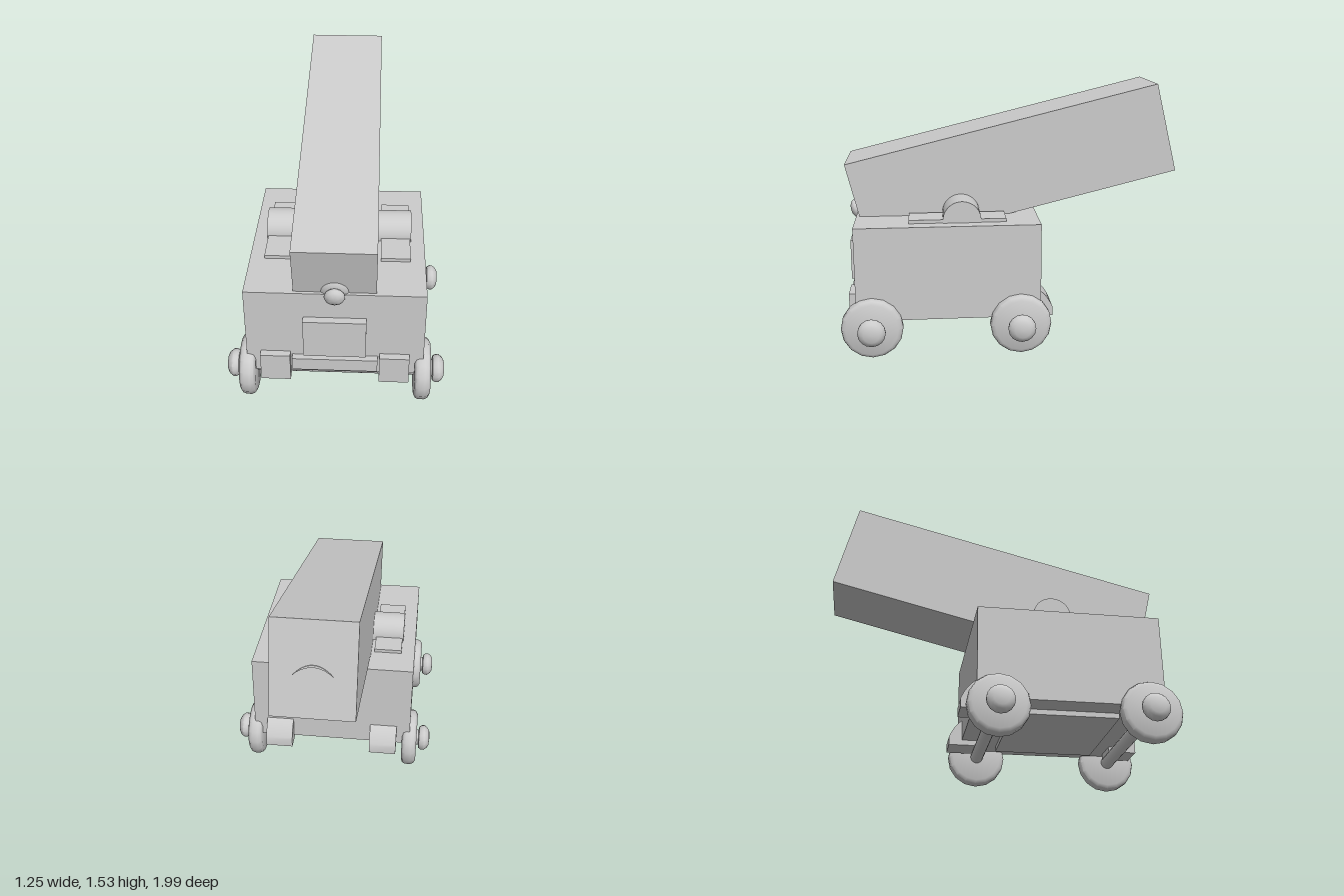
import * as THREE from 'three';
import { toCreasedNormals } from 'three/addons/utils/BufferGeometryUtils.js';

const mat = new THREE.MeshStandardMaterial({ color: 0xcccccc });

export function createModel() {
  const root = new THREE.Group();

  const add = (name, geo, parent = root) => {
    const mesh = new THREE.Mesh(geo, mat);
    mesh.name = name;
    parent.add(mesh);
    return mesh;
  };
  // Box given by its extents
  const box = (name, x0, x1, y0, y1, z0, z1, parent = root) => {
    const m = add(name, new THREE.BoxGeometry(x1 - x0, y1 - y0, z1 - z0), parent);
    m.position.set((x0 + x1) / 2, (y0 + y1) / 2, (z0 + z1) / 2);
    return m;
  };
  // Turned part from [radius, height] pairs
  const turned = (pts, sides, crease = 0.7) => toCreasedNormals(
    new THREE.LatheGeometry(pts.map(([r, h]) => new THREE.Vector2(r, h)), sides), crease);
  // Side profile drawn as (z, y), extruded along x from x0 to x1
  const sideExtrude = (name, shape, x0, x1) => {
    const geo = new THREE.ExtrudeGeometry(shape, { depth: x1 - x0, bevelEnabled: false, curveSegments: 12 });
    geo.rotateY(-Math.PI / 2).scale(1, 1, 1);
    const m = add(name, toCreasedNormals(geo, 0.6));
    m.position.x = x1;
    return m;
  };

  // Carriage body, underside panel and front plates
  box('carriageBody', -0.495, 0.495, 0.22, 0.77, -0.155, 0.91);
  box('undersidePanel', -0.35, 0.35, 0.19, 0.225, 0.07, 0.68);
  box('frontPanel', -0.173, 0.173, 0.37, 0.61, 0.9, 0.955);
  box('frontBar', -0.238, 0.238, 0.262, 0.34, 0.9, 0.95);

  // Barrel, tilted up towards the back
  const barrel = new THREE.Group();
  barrel.name = 'barrelGroup';
  barrel.position.set(0, 1.048, -0.0135);
  barrel.rotation.x = 0.2406;
  root.add(barrel);
  add('barrel', new THREE.BoxGeometry(0.45, 0.532, 1.888), barrel);

  // Thin raised crescent on the muzzle face
  const crescent = new THREE.Shape();
  crescent.moveTo(-0.105, 0);
  crescent.quadraticCurveTo(0, 0.115, 0.105, 0);
  crescent.quadraticCurveTo(0, 0.09, -0.105, 0);
  const lip = add('muzzleLip', new THREE.ExtrudeGeometry(crescent, { depth: 0.012, bevelEnabled: false }), barrel);
  lip.position.set(0, -0.03, -0.95);

  // Knob at the breech
  const knob = add('breechKnob', turned([
    [0, -0.05], [0.08, -0.05], [0.08, -0.005], [0.068, 0.008], [0.045, 0.014],
    [0.055, 0.026], [0.057, 0.038], [0.05, 0.052], [0.028, 0.064], [0, 0.066],
  ], 24));
  knob.position.set(0, 0.775, 0.892);
  knob.rotation.x = Math.PI / 2 + 0.2406;

  // Half-round trunnion cover profile
  const trunnion = new THREE.Shape();
  trunnion.moveTo(0.184, 0.76);
  trunnion.lineTo(0.404, 0.76);
  trunnion.lineTo(0.404, 0.785);
  trunnion.absarc(0.294, 0.785, 0.11, 0, Math.PI, false);
  trunnion.closePath();

  // Rear bracket profile with a rounded upper outer corner
  const bracket = new THREE.Shape();
  bracket.moveTo(-0.235, 0.188);
  bracket.lineTo(-0.05, 0.188);
  bracket.lineTo(-0.05, 0.36);
  bracket.lineTo(-0.135, 0.36);
  bracket.quadraticCurveTo(-0.2, 0.325, -0.235, 0.24);
  bracket.closePath();

  // Wheel and hub profiles, turned about the axle
  const wheelProfile = [
    [0, -0.046], [0.15, -0.046], [0.17, -0.036], [0.178, -0.018],
    [0.178, 0.014], [0.17, 0.034], [0.15, 0.046], [0, 0.04],
  ];
  const hubProfile = [
    [0.05, -0.02], [0.05, 0.022], [0.07, 0.026], [0.08, 0.042], [0.08, 0.06],
    [0.064, 0.08], [0.045, 0.09], [0, 0.094],
  ];

  for (const s of [1, -1]) {
    const side = s > 0 ? 'left' : 'right';
    const span = (a, b) => (s > 0 ? [a, b] : [-b, -a]);

    box(side + 'TrunnionPlate', ...span(0.245, 0.412), 0.76, 0.79, 0.04, 0.6);
    sideExtrude(side + 'TrunnionCover', trunnion, ...span(0.2, 0.418));
    box(side + 'FrontBracket', ...span(0.248, 0.415), 0.188, 0.36, 0.78, 0.953);
    sideExtrude(side + 'RearBracket', bracket, ...span(0.245, 0.412));

    for (const [end, z] of [['Front', 0.82], ['Rear', -0.037]]) {
      const wheel = new THREE.Group();
      wheel.name = side + end + 'Wheel';
      wheel.position.set(s * 0.494, 0.18, z);
      wheel.rotation.z = -s * Math.PI / 2;
      root.add(wheel);
      add('wheelDisc', turned(wheelProfile, 16), wheel);
      add('wheelHub', turned(hubProfile, 16), wheel).position.y = 0.036;
    }
  }

  // Axles
  for (const [name, z] of [['frontAxle', 0.82], ['rearAxle', -0.037]]) {
    const axle = add(name, new THREE.CylinderGeometry(0.039, 0.039, 0.98, 16));
    axle.rotation.z = Math.PI / 2;
    axle.position.set(0, 0.178, z);
  }

  return root;
}
